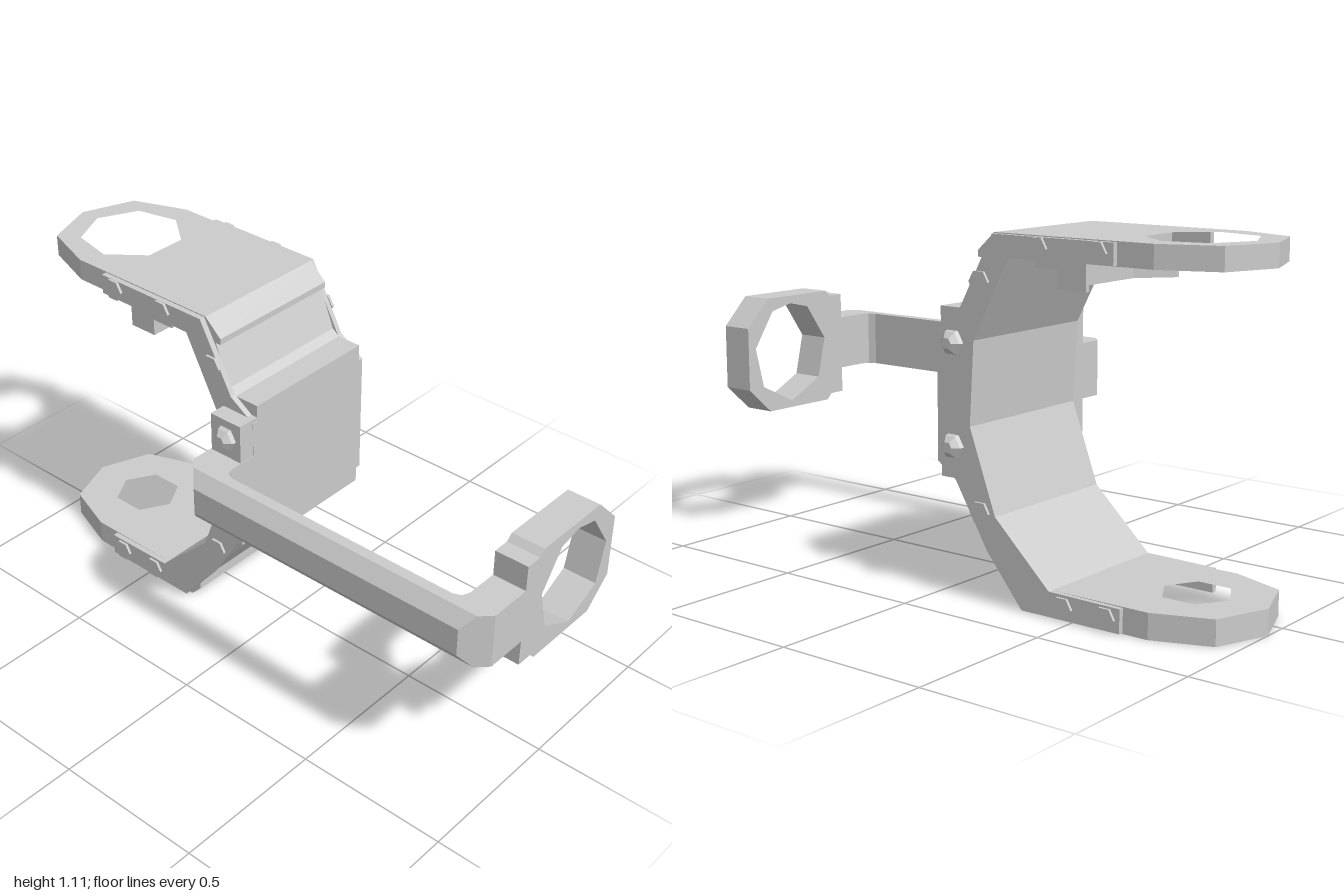
import * as THREE from 'three';

const material = new THREE.MeshStandardMaterial({ color: 0xcccccc, flatShading: true });
const CX = 0.083; // centre line of the clamp in x

function extrude(points, depth, hole) {
  const shape = new THREE.Shape(points.map(([a, b]) => new THREE.Vector2(a, b)));
  if (hole) shape.holes.push(new THREE.Path(hole.map(([a, b]) => new THREE.Vector2(a, b))));
  return new THREE.ExtrudeGeometry(shape, { depth, bevelEnabled: false });
}

// Profile given as [z, y], extruded from x0 to x1
function sideProfile(points, x0, x1) {
  return extrude(points.map(([z, y]) => [-z, y]), x1 - x0).rotateY(Math.PI / 2).translate(x0, 0, 0);
}

// Plan given as [x, z], extruded from y0 to y1
function plan(points, y0, y1, hole) {
  const flip = (list) => list && list.map(([x, z]) => [x, -z]);
  return extrude(flip(points), y1 - y0, flip(hole)).rotateX(-Math.PI / 2).translate(0, y0, 0);
}

// Regular polygon with one corner pointing to -z
function polygon(sides, radius, cx, cz) {
  return Array.from({ length: sides }, (_, i) => {
    const a = (i / sides) * Math.PI * 2;
    return [cx + Math.sin(a) * radius, cz - Math.cos(a) * radius];
  });
}

export function createModel() {
  const model = new THREE.Group();
  const add = (name, geometry) => {
    const mesh = new THREE.Mesh(geometry, material);
    mesh.name = name;
    model.add(mesh);
    return mesh;
  };

  // Inner face of the C-shaped clamp, from bottom to top
  const inner = [[-0.42, 0.08], [-0.22, 0.27], [-0.125, 0.53], [-0.14, 0.79], [-0.27, 1.04]];

  // Main clamp body, with raised lips at both bends
  add('clampBody', sideProfile([
    [-0.5, 0], [-0.5, 0.08], ...inner, [-0.5, 1.04], [-0.5, 1.11],
    [-0.205, 1.11], [-0.145, 1.055], [-0.145, 1.035], [-0.165, 1.035], [-0.11, 0.9], [-0.085, 0.88], [0, 0.88],
    [0, 0.36], [-0.07, 0.36], [-0.185, 0.19], [-0.27, 0.075], [-0.27, 0.04], [-0.31, 0],
  ], -0.155, 0.325));

  // Side rims along both edges of the clamp
  const rim = [
    [-0.67, 0.003], [-0.67, 0.077], ...inner, [-0.635, 1.043], [-0.635, 1.107],
    [-0.21, 1.107], [-0.09, 0.885], [0, 0.825],
    [0, 0.41], [-0.07, 0.36], [-0.19, 0.16], [-0.32, 0.003],
  ];
  add('rimRight', sideProfile(rim, -0.174, -0.155));
  add('rimLeft', sideProfile(rim, 0.325, 0.342));

  // Upper and lower prongs with rounded ends
  const prong = [
    [-0.155, -0.5], [-0.155, -0.755], [-0.09, -0.935], [CX, -1],
    [0.257, -0.935], [0.325, -0.755], [0.325, -0.5],
  ];
  add('upperProng', plan(prong, 1.04, 1.11, polygon(7, 0.167, CX, -0.763)));
  add('lowerProng', plan(prong, 0, 0.08, polygon(6, 0.112, CX, -0.763)));

  // Curved stop under the upper prong
  const stop = (front) => [
    [-0.155, front], [-0.155, -0.528], [-0.14, -0.528], [-0.04, -0.44],
    [0.206, -0.44], [0.306, -0.528], [0.32, -0.528], [0.32, front],
  ];
  add('stopBase', plan(stop(-0.35), 1.015, 1.04));
  add('stop', plan(stop(-0.43), 0.96, 1.015));

  // Flange that carries the arm
  add('armFlange', new THREE.BoxGeometry(0.075, 0.44, 0.12)).position.set(-0.1925, 0.62, -0.061);

  // Arm bent around two corners
  add('arm', plan([
    [-0.16, 0.001], [-0.27, 0.001], [-0.295, 0.01], [-0.305, 0.035],
    [-0.305, 0.855], [-0.295, 0.88], [-0.27, 0.89], [-0.16, 0.89],
    [-0.16, 1], [-0.305, 1], [-0.34, 0.965], [-0.34, -0.0925], [-0.305, -0.125], [-0.16, -0.125],
  ], 0.53, 0.71));

  // Bevelled outer edge of the arm
  const edge = plan([[-0.34, 0.965], [-0.375, 0.93], [-0.375, -0.06], [-0.34, -0.0925]], 0.53, 0.71);
  const p = edge.attributes.position;
  for (let i = 0; i < p.count; i++) {
    if (p.getX(i) < -0.36) p.setY(i, p.getY(i) > 0.6 ? 0.665 : 0.575);
  }
  edge.computeVertexNormals();
  add('armEdge', edge);

  // Front ring plate with a faceted hole
  const half = [[0, 0.168], [0.082, 0.149], [0.163, 0.03], [0.13, -0.105], [0, -0.17]];
  const ringHole = [...half, ...half.slice(1, -1).reverse().map(([x, y]) => [-x, y])]
    .map(([x, y]) => [x + CX, y + 0.618]);
  add('ring', extrude([
    [-0.165, 0.445], [-0.11, 0.445], [-0.09, 0.425], [0.185, 0.425], [0.278, 0.51],
    [0.278, 0.72], [0.185, 0.812], [-0.09, 0.812], [-0.11, 0.793], [-0.165, 0.793],
  ], 0.11, ringHole).translate(0, 0, 0.89));

  // Hex bolts on both sides of the clamp
  const smallBolts = [
    [-0.375, 1.075], [-0.58, 1.075], [-0.165, 0.965], [-0.165, 0.275], [-0.47, 0.04], [-0.62, 0.04],
  ];
  const bolt = (name, side, x, y, z, base, tip, length) => {
    const g = new THREE.CylinderGeometry(tip, base, length, 6).translate(0, length / 2, 0);
    g.rotateZ(-side * Math.PI / 2);
    add(name, g).position.set(x, y, z);
  };
  for (const side of [-1, 1]) {
    const face = side > 0 ? 0.341 : -0.173;
    for (const [z, y] of smallBolts) bolt('rimBolt', side, face, y, z, 0.036, 0.036, 0.01);
    const outer = side > 0 ? 0.341 : -0.229;
    for (const y of [0.463, 0.777]) {
      bolt('largeBolt', side, outer, y, -0.06, 0.042, 0.037, 0.014);
      bolt('largeBoltTip', side, outer + side * 0.014, y, -0.06, 0.037, 0.018, 0.017);
    }
  }
  return model;
}
